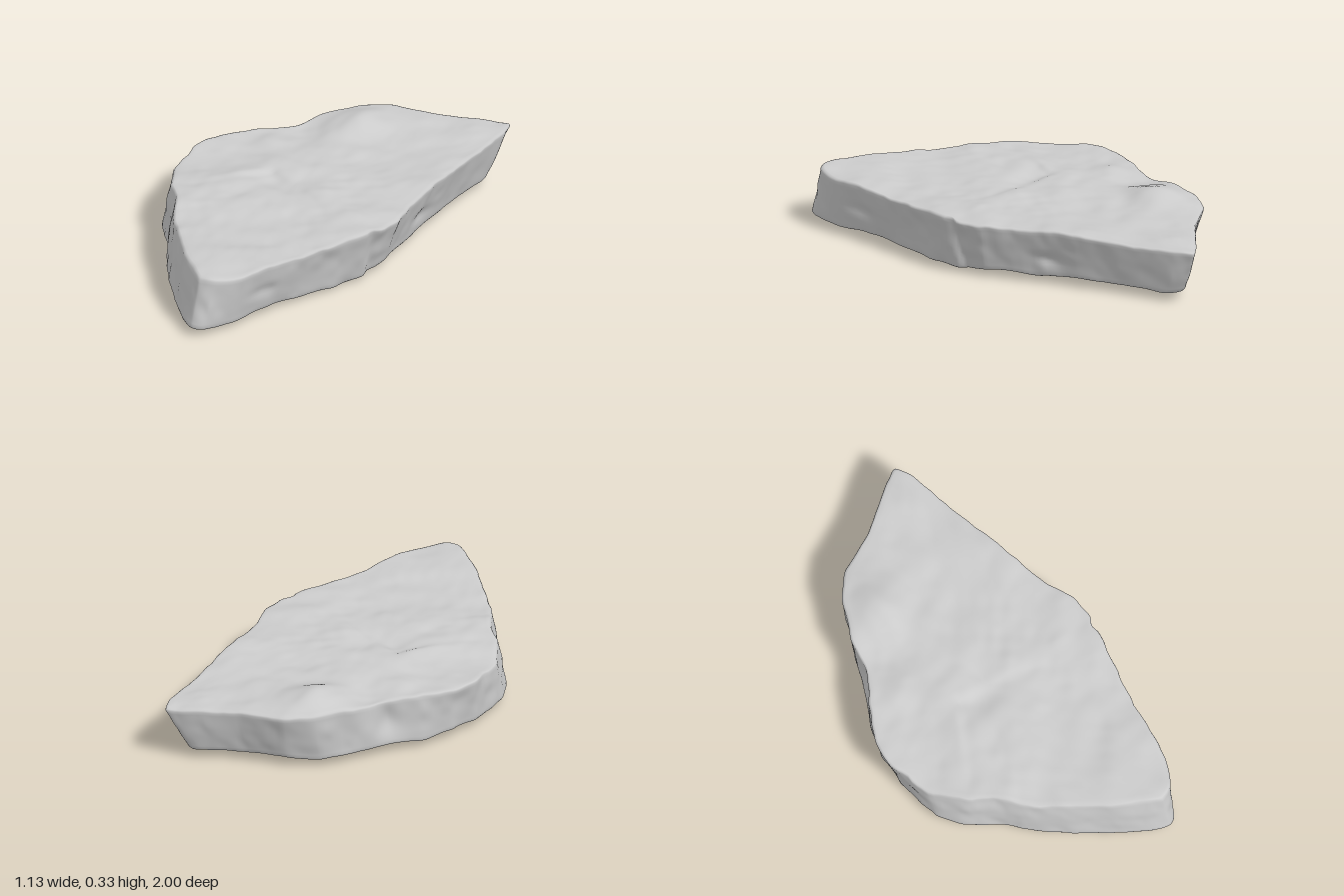
import * as THREE from 'three';
import { mergeVertices } from 'three/addons/utils/BufferGeometryUtils.js';

// Matching outlines [topX, topZ, bottomX, bottomZ], clockwise seen from above
const OUTLINE = [
  [0.40, -1.0, 0.32, -0.90], [0.435, -0.92, 0.37, -0.85], [0.455, -0.65, 0.39, -0.62],
  [0.48, -0.45, 0.41, -0.43], [0.50, -0.30, 0.43, -0.29], [0.52, -0.15, 0.45, -0.14],
  [0.555, -0.02, 0.47, 0.0], [0.545, 0.12, 0.47, 0.13], [0.49, 0.28, 0.43, 0.30],
  [0.44, 0.45, 0.37, 0.47], [0.395, 0.62, 0.33, 0.65], [0.34, 0.81, 0.29, 0.84],
  [0.27, 0.92, 0.24, 0.97], [0.20, 0.945, 0.19, 1.0], [0.14, 0.91, 0.12, 0.97],
  [0.0, 0.81, -0.01, 0.86], [-0.15, 0.67, -0.16, 0.72], [-0.27, 0.54, -0.29, 0.58],
  [-0.32, 0.475, -0.335, 0.515], [-0.43, 0.36, -0.45, 0.40], [-0.54, 0.20, -0.525, 0.26],
  [-0.565, 0.02, -0.535, 0.04], [-0.54, -0.11, -0.515, -0.10], [-0.45, -0.25, -0.45, -0.24],
  [-0.355, -0.37, -0.375, -0.36], [-0.30, -0.53, -0.305, -0.49], [-0.20, -0.695, -0.20, -0.65],
  [-0.09, -0.79, -0.06, -0.74], [0.10, -0.86, 0.10, -0.79], [0.25, -0.94, 0.21, -0.85],
  [0.35, -0.985, 0.28, -0.89],
];

// Smooth seeded value noise in -1..1
function hash(x, y, z) {
  const s = Math.sin(x * 127.1 + y * 311.7 + z * 74.7) * 43758.5453;
  return (s - Math.floor(s)) * 2 - 1;
}
function noise(x, y, z) {
  const i = [x, y, z].map(Math.floor);
  const [u, v, w] = [x - i[0], y - i[1], z - i[2]].map((f) => f * f * (3 - 2 * f));
  let sum = 0;
  for (let c = 0; c < 8; c++) {
    const a = c & 1, b = (c >> 1) & 1, d = c >> 2;
    sum += hash(i[0] + a, i[1] + b, i[2] + d) *
      (a ? u : 1 - u) * (b ? v : 1 - v) * (d ? w : 1 - w);
  }
  return sum;
}
const bump = (dx, dz, rx, rz) => Math.exp(-((dx / rx) ** 2) - (dz / rz) ** 2);

// Shallow cleavage ripples, stretched along one diagonal
function ripples(x, z, seed) {
  const along = x * 0.8 - z * 0.6, across = x * 0.6 + z * 0.8;
  return 0.011 * noise(along * 3.5, seed, across * 6) +
    0.006 * noise(along * 8, seed + 5, across * 11) +
    0.0025 * noise(x * 20, seed + 9, z * 20);
}

// Height of the worn upper face: hump near the back, hollow beside it, bent low step
function topHeight(x, z) {
  const stepLine = 0.0 + (x < -0.15 ? -(x + 0.15) * 1.2 : (x + 0.15) * 0.25) +
    0.03 * noise(x * 9, 3, 0);
  const d = z - stepLine;
  const step = 0.014 * Math.exp(-Math.abs(d) * 8) * Math.tanh(-d * 28) * bump(x + 0.05, 0, 0.28, 1);
  return 0.269 - 0.02 * x * x + 0.036 * bump(x + 0.11, z + 0.57, 0.12, 0.18) -
    0.015 * bump(x + 0.22, z + 0.35, 0.1, 0.12) -
    0.014 * bump(x + 0.46, z - 0.28, 0.14, 0.16) + step + ripples(x, z, 2);
}

// Height of the underside: a ledge drops across the middle and fades to the front
function bottomHeight(x, z) {
  const ledge = 0.5 + 0.5 * Math.tanh((z - 0.02 - 0.2 * x) * 22);
  return 0.036 - 0.014 * bump(x - 0.18, z - 0.22, 0.45, 0.5) -
    0.02 * ledge * bump(x - 0.2, z - 0.2, 0.6, 0.28) + ripples(x, z, 31) * 0.8;
}

function slabGeometry() {
  const segments = 240;
  const ring = (a, b) => new THREE.CatmullRomCurve3(
    OUTLINE.map((p) => new THREE.Vector3(p[a], 0, p[b])), true, 'catmullrom', 0.3);
  const topCurve = ring(0, 1), bottomCurve = ring(2, 3);

  // Rows as [radial scale, height fraction]: upper face, side wall, underside
  const rows = [];
  for (let i = 0; i <= 34; i++) rows.push([0.98 * i / 34, 1]);
  rows.push([0.993, 0.985]);
  for (let i = 0; i <= 14; i++) rows.push([1, 0.95 - 0.9 * i / 14]);
  rows.push([0.993, 0.015]);
  for (let i = 34; i >= 0; i--) rows.push([0.98 * i / 34, 0]);

  const positions = [], index = [];
  rows.forEach(([k, h], r) => {
    for (let j = 0; j < segments; j++) {
      const p = bottomCurve.getPoint(j / segments)
        .lerp(topCurve.getPoint(j / segments), h).multiplyScalar(k);
      const y = THREE.MathUtils.lerp(bottomHeight(p.x, p.z), topHeight(p.x, p.z), h);
      // Chipped rim; dents and an upright crack in the walls
      const chip = 0.009 * noise(p.x * 9, y * 7, p.z * 9) + 0.005 * noise(p.x * 22, y * 16, p.z * 22);
      const dents = p.x > 0 ? 0.018 * (bump(p.z - 0.7, y - 0.14, 0.06, 0.03) +
        bump(p.z + 0.32, y - 0.12, 0.07, 0.03) + 0.8 * bump(p.z - 0.09 - 0.2 * y, 0, 0.025, 1)) :
        0.02 * bump(p.z + 0.38, y - 0.17, 0.05, 0.06);
      const push = 1 + (chip - dents) * Math.pow(k, 12) / Math.max(p.length(), 0.1);
      positions.push(p.x * push, y, p.z * push);
      if (r < rows.length - 1) {
        const a = r * segments + j, b = r * segments + (j + 1) % segments;
        index.push(a, b, a + segments, b, b + segments, a + segments);
      }
    }
  });

  let geometry = new THREE.BufferGeometry();
  geometry.setAttribute('position', new THREE.Float32BufferAttribute(positions, 3));
  geometry.setIndex(index);
  geometry = mergeVertices(geometry, 1e-5);

  // Centre and stand on the ground
  geometry.computeBoundingBox();
  const box = geometry.boundingBox, mid = box.getCenter(new THREE.Vector3());
  geometry.translate(-mid.x, -box.min.y, -mid.z);
  geometry.computeVertexNormals();
  return geometry;
}

export function createModel() {
  const group = new THREE.Group();
  group.name = 'rock';
  const slab = new THREE.Mesh(slabGeometry(),
    new THREE.MeshStandardMaterial({ color: 0xcccccc }));
  slab.name = 'stoneSlab';
  group.add(slab);
  return group;
}
